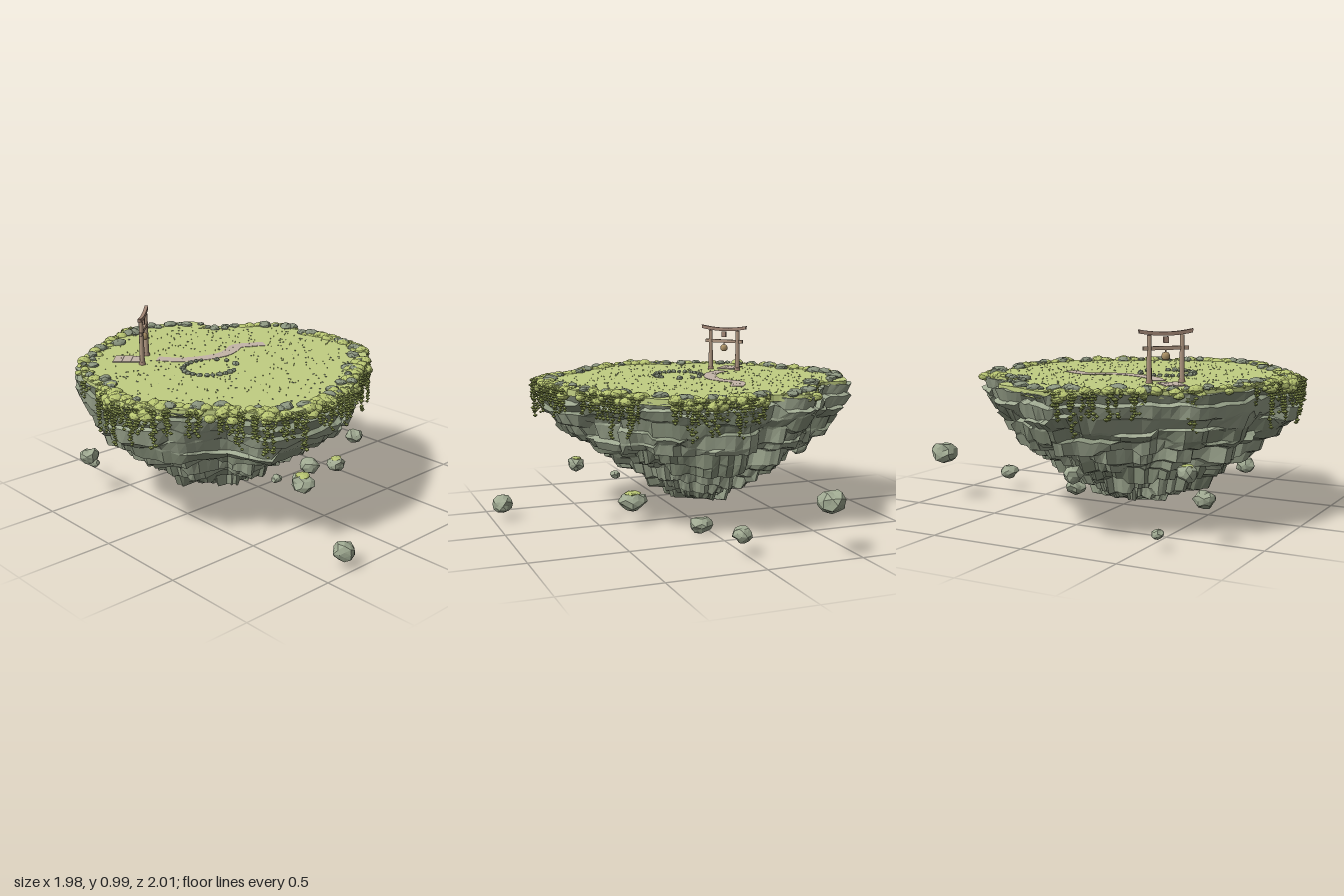
import * as THREE from 'three';
import { mergeGeometries } from 'three/addons/utils/BufferGeometryUtils.js';

// seeded random numbers
let seed = 7;
const rnd = () => {
  seed = (seed * 1664525 + 1013904223) % 4294967296;
  return seed / 4294967296;
};
const range = (a, b) => a + (b - a) * rnd();

const paint = (name, color) => {
  const m = new THREE.MeshStandardMaterial({ color });
  m.name = name;
  return m;
};

// island outline seen from above (x, z), clockwise from the back
const CX = -0.13, CZ = -0.1, TOP = 0.733;
const OUTLINE = [
  [-0.09, -1], [0.08, -0.93], [0.25, -0.85], [0.27, -0.69], [0.43, -0.58], [0.64, -0.41],
  [0.59, -0.24], [0.64, -0.05], [0.59, 0.24], [0.43, 0.42], [0.24, 0.53], [0, 0.69],
  [-0.19, 0.74], [-0.53, 0.72], [-0.67, 0.51], [-0.85, 0.32], [-0.98, 0.08], [-0.91, -0.16],
  [-0.88, -0.37], [-0.72, -0.62], [-0.51, -0.77], [-0.24, -0.93]];
const COUNT = OUTLINE.length;
const curve = new THREE.CatmullRomCurve3(OUTLINE.map(([x, z]) => new THREE.Vector3(x, 0, z)), true);
// point on the outline at index u, scaled about the island's centre
const rim = (u, s, y = 0) => {
  const p = curve.getPoint((((u % COUNT) + COUNT) % COUNT) / COUNT);
  return new THREE.Vector3(CX + (p.x - CX) * s, y, CZ + (p.z - CZ) * s);
};

// rough faceted lump
function lump(pos, r, scale = [1, 1, 1], rough = 0.25, detail = 1) {
  const g = new THREE.IcosahedronGeometry(1, detail);
  const a = g.attributes.position, k = rnd() * 10, v = new THREE.Vector3();
  for (let i = 0; i < a.count; i++) {
    v.fromBufferAttribute(a, i);
    const h = Math.sin(Math.round(v.x * 50) * 1.29 + Math.round(v.y * 50) * 7.82 + Math.round(v.z * 50) * 3.77 + k) * 437.58;
    v.multiplyScalar(r * (1 + rough * (h - Math.floor(h) - 0.5)));
    a.setXYZ(i, v.x * scale[0], v.y * scale[1], v.z * scale[2]);
  }
  g.rotateY(rnd() * 6.28);
  g.computeVertexNormals();
  return g.translate(pos.x, pos.y, pos.z);
}

// random offsets shared by runs of neighbouring columns
function blocks(n, min, max, amount) {
  const out = [];
  while (out.length < n) {
    const o = range(-amount, amount);
    for (let c = Math.floor(range(min, max + 1)); c > 0 && out.length < n; c--) out.push(o + range(-0.006, 0.006));
  }
  return out;
}

// stepped cone of rock strata, with one material group per stone tone
function cliffGeometry() {
  const n = COUNT * 6;
  const levels = [0.715, 0.66, 0.6, 0.54, 0.48, 0.42, 0.36, 0.3, 0.23, 0.16, 0.1];
  const widths = [0.95, 0.96, 0.935, 0.89, 0.85, 0.73, 0.62, 0.51, 0.385, 0.25, 0.125];
  const ridge = blocks(n, 2, 5, 0.065);
  const wobble = levels.map((_, k) => blocks(n, 3, 8, k ? 0.021 : 0));
  const ring = (width, jitter, y) => Array.from({ length: n }, (_, j) => {
    const u = j / 6, p = rim(u, 1), a = Math.atan2(p.z - CZ, p.x - CX);
    const lean = (1 - width) * (0.35 * Math.cos(a) ** 2 - 0.22 * Math.max(0, Math.sin(a)));
    const lip = width > 0.91 ? 0.03 * Math.min(1, Math.max(0, -2 * Math.sin(a))) : 0;
    const depth = Math.min(1, (1 - width) * 3);
    const buttress = depth * (0.045 * Math.sin(a * 7 + 1) + 0.03 * Math.sin(a * 13));
    return rim(u, width * (1 + lean + buttress + ridge[j] * depth * 1.3) + lip + jitter[j], y(j));
  });
  const rings = [];
  levels.forEach((y, k) => {
    const jitter = blocks(n, 3, 9, k < 2 ? 0.008 : 0.042 * Math.min(1, widths[k] * 1.8));
    rings.push(ring(widths[k], jitter, j => y + wobble[k][j]));
    if (k < levels.length - 1) rings.push(ring(widths[k] - 0.03, jitter, j => levels[k + 1] + wobble[k + 1][j] + 0.012));
  });
  const light = [], dark = [];
  const tri = (list, ...ps) => ps.forEach(p => list.push(p.x, p.y, p.z));
  const lid = new THREE.Vector3(CX, 0.715, CZ), tip = new THREE.Vector3(CX, 0.06, CZ);
  const end = rings[rings.length - 1];
  for (let j = 0; j < n; j++) {
    const i = (j + 1) % n;
    tri(light, lid, rings[0][i], rings[0][j]);
    for (let k = 0; k < rings.length - 1; k++) {
      const A = rings[k], B = rings[k + 1];
      const list = Math.sin(Math.floor(j / 5) * 12.3 + (k >> 1) * 4.7) > 0.35 ? dark : light;
      tri(list, A[j], A[i], B[i]);
      tri(list, A[j], B[i], B[j]);
    }
    tri(dark, end[j], end[i], tip);
  }
  const g = new THREE.BufferGeometry();
  g.setAttribute('position', new THREE.Float32BufferAttribute(light.concat(dark), 3));
  g.addGroup(0, light.length / 3, 0);
  g.addGroup(light.length / 3, dark.length / 3, 1);
  g.computeVertexNormals();
  return g;
}

// horizontal plate from an outline of (x, z) points
function plate(points, y, height) {
  const s = new THREE.Shape(points.map(p => new THREE.Vector2(p.x, -p.z)));
  return new THREE.ExtrudeGeometry(s, { depth: height, bevelEnabled: false }).rotateX(-Math.PI / 2).translate(0, y, 0);
}

export function createModel() {
  seed = 7;
  const grass = paint('grass', 0xc1ce82), path = paint('path', 0xc5b5a8);
  const stone = paint('stone', 0xa0aa92), darkStone = paint('dark stone', 0x8c967f);
  const moss = paint('moss', 0xb7c471), vine = paint('vine green', 0x8e9b53);
  const pebble = paint('pebble grey', 0x8a947e), wood = paint('wood', 0xb09781);
  const beam = paint('beam wood', 0xa38776), brass = paint('bell brass', 0xae9468);
  const model = new THREE.Group();
  const add = (name, geo, mat, parent = model) => {
    const m = new THREE.Mesh(Array.isArray(geo) ? mergeGeometries(geo) : geo, mat);
    m.name = name;
    parent.add(m);
  };

  // island body and lawn
  add('cliff', cliffGeometry(), [stone, darkStone]);
  add('lawn', plate(Array.from({ length: 132 }, (_, j) => rim(j / 6, 0.96)), 0.7, TOP - 0.7), grass);

  // rim boulders
  const boulders = [];
  for (let i = 0; i < 62; i++) {
    boulders.push(lump(rim(i * COUNT / 62 + range(-0.3, 0.3), range(0.86, 0.945), TOP + 0.004), range(0.016, 0.039), [1.15, 0.6, 0.95]));
  }
  add('rimBoulders', boulders, pebble);

  // mossy mounds and clumps of hanging vines: from, to, mounds, clumps
  const mounds = [], leaves = [];
  const clusters = [[6.2, 8.3, 75, 9], [9, 10.7, 60, 7], [11, 14.2, 95, 11], [14.2, 15, 12, 1], [15, 17.2, 85, 10],
    [17.2, 19.8, 16, 2], [19.9, 21.6, 42, 5], [2.6, 5, 7, 0]];
  for (const [from, to, amount, clumps] of clusters) {
    for (let i = 0; i < amount; i++) {
      const s = range(0.885, 0.975), r = range(0.01, 0.037);
      mounds.push(lump(rim(range(from, to), s, s > 0.955 ? range(0.69, 0.72) : range(0.72, 0.735)), r, [1, 0.68, 1], 0.15));
    }
    for (let i = 0; i < clumps * 4; i++) {
      const c = from + (to - from) * ((i >> 2) + 0.5) / clumps, u = c + range(-0.1, 0.1);
      const s = range(0.972, 0.992), length = range(0.05, 0.13 + 0.09 * ((i >> 2) % 2));
      for (let d = 0; d < length; d += 0.013) {
        const p = rim(u + range(-0.05, 0.05), s + range(-0.006, 0.006), 0.725 - d);
        leaves.push(new THREE.OctahedronGeometry(range(0.008, 0.015)).scale(1, 0.75, 1).rotateY(rnd() * 3).translate(p.x, p.y, p.z));
      }
    }
  }
  for (let i = 0; i < 150; i++) mounds.push(lump(rim(range(3, 22), range(0.92, 0.965), TOP), range(0.006, 0.013), [1, 0.8, 1], 0.15, 0));
  add('mossMounds', mounds, moss);
  add('vines', leaves, vine);

  // scattered pebbles and grass tufts
  const pebbles = [], tufts = [];
  for (let i = 0; i < 520; i++) {
    const p = rim(range(0, COUNT), Math.sqrt(rnd()) * 0.9, TOP);
    if (i % 2) pebbles.push(lump(p, range(0.003, 0.006), [1, 0.7, 1], 0.2, 0));
    else tufts.push(new THREE.ConeGeometry(range(0.002, 0.004), 0.01, 4).translate(p.x, TOP + 0.004, p.z));
  }
  add('pebbles', pebbles, pebble);
  add('grassTufts', tufts, moss);

  // broken ring of stones
  const ringStones = [-112, -98, -84, -72, -38, -14, 20, 68, 82, 94, 108, 122, 134, 150, 166, 180, 192, 205, 220, 236]
    .map(d => d * Math.PI / 180)
    .map(a => lump(new THREE.Vector3(-0.285 + 0.145 * Math.cos(a), TOP + 0.005, -0.055 + 0.13 * Math.sin(a)), range(0.01, 0.018), [1.1, 0.8, 0.9]));
  add('stoneRing', ringStones, pebble);

  // winding path
  const line = new THREE.CatmullRomCurve3([[-0.385, -0.365], [-0.31, -0.27], [-0.2, -0.21], [-0.08, -0.19], [0, -0.215],
    [0.08, -0.255], [0.15, -0.225], [0.22, -0.185]].map(([x, z]) => new THREE.Vector3(x, 0, z)));
  const left = [], right = [];
  for (let i = 0; i <= 28; i++) {
    const p = line.getPoint(i / 28), t = line.getTangent(i / 28);
    const side = new THREE.Vector3(-t.z, 0, t.x).multiplyScalar(0.036);
    left.push(p.clone().add(side));
    right.unshift(p.clone().sub(side));
  }
  add('path', plate(left.concat(right), TOP, 0.002), path);

  // wooden gate, turned to the corner
  const gate = new THREE.Group();
  gate.name = 'gate';
  gate.position.set(-0.443, TOP, -0.4);
  gate.rotation.y = Math.PI / 4;
  model.add(gate);
  for (const s of [-1, 1]) {
    add('post', new THREE.CylinderGeometry(0.0115, 0.0135, 0.228, 8).translate(s * 0.083, 0.114, 0), wood, gate);
    add('postFoot', new THREE.CylinderGeometry(0.016, 0.018, 0.016, 8).translate(s * 0.083, 0.008, 0), beam, gate);
  }
  const roof = new THREE.Shape();
  roof.moveTo(-0.134, 0.238);
  roof.quadraticCurveTo(0, 0.212, 0.134, 0.238);
  roof.lineTo(0.137, 0.257);
  roof.quadraticCurveTo(0, 0.23, -0.137, 0.257);
  add('topBeam', new THREE.ExtrudeGeometry(roof, { depth: 0.018, bevelEnabled: false, curveSegments: 10 }).translate(0, 0, -0.009), beam, gate);
  add('crossBeam', new THREE.BoxGeometry(0.228, 0.018, 0.014).translate(0, 0.166, 0), wood, gate);
  add('centreStrut', new THREE.BoxGeometry(0.024, 0.03, 0.016).translate(0, 0.206, 0), beam, gate);
  add('bellCord', new THREE.CylinderGeometry(0.003, 0.003, 0.02, 6).translate(0, 0.152, 0), beam, gate);
  const bell = [[0, 0], [0.014, 0.002], [0.02, 0.01], [0.02, 0.026], [0.014, 0.036], [0, 0.039]].map(p => new THREE.Vector2(...p));
  add('bell', new THREE.LatheGeometry(bell, 10).translate(0, 0.108, 0), brass, gate);

  // paved step behind the gate
  const tiles = [];
  for (let i = -1; i <= 1; i++) for (let k = -1; k <= 1; k++)
    tiles.push(new THREE.BoxGeometry(0.034, 0.006, 0.046).translate(i * 0.035, 0.002, -0.09 + k * 0.047));
  add('pavedStep', tiles, path, gate);

  // floating rocks: x, y, z, size, mossy
  const floaters = [
    [0.92, 0.265, -0.37, 0.066], [0.76, 0.105, 0.02, 0.046], [-0.33, 0.08, 0.94, 0.053], [0.34, 0.05, 0.06, 0.053],
    [0.02, 0.12, 0.32, 0.064, 1], [-0.72, 0.22, -0.55, 0.048], [-0.57, 0.08, -0.73, 0.028], [-0.04, 0.335, 0.61, 0.044, 1],
    [-0.2, 0.22, 0.35, 0.026], [-0.12, 0.31, -0.73, 0.05], [-0.58, 0.31, -0.44, 0.05, 1]];
  for (const [x, y, z, r, mossy] of floaters) {
    const p = new THREE.Vector3(x, y, z);
    add('floatingRock', lump(p, r, [1.1, 0.85, 1], 0.35), stone);
    if (mossy) add('rockMoss', lump(p.clone().setY(y + r * 0.66), r * 0.62, [1.1, 0.32, 1], 0.2), moss);
  }
  return model;
}
